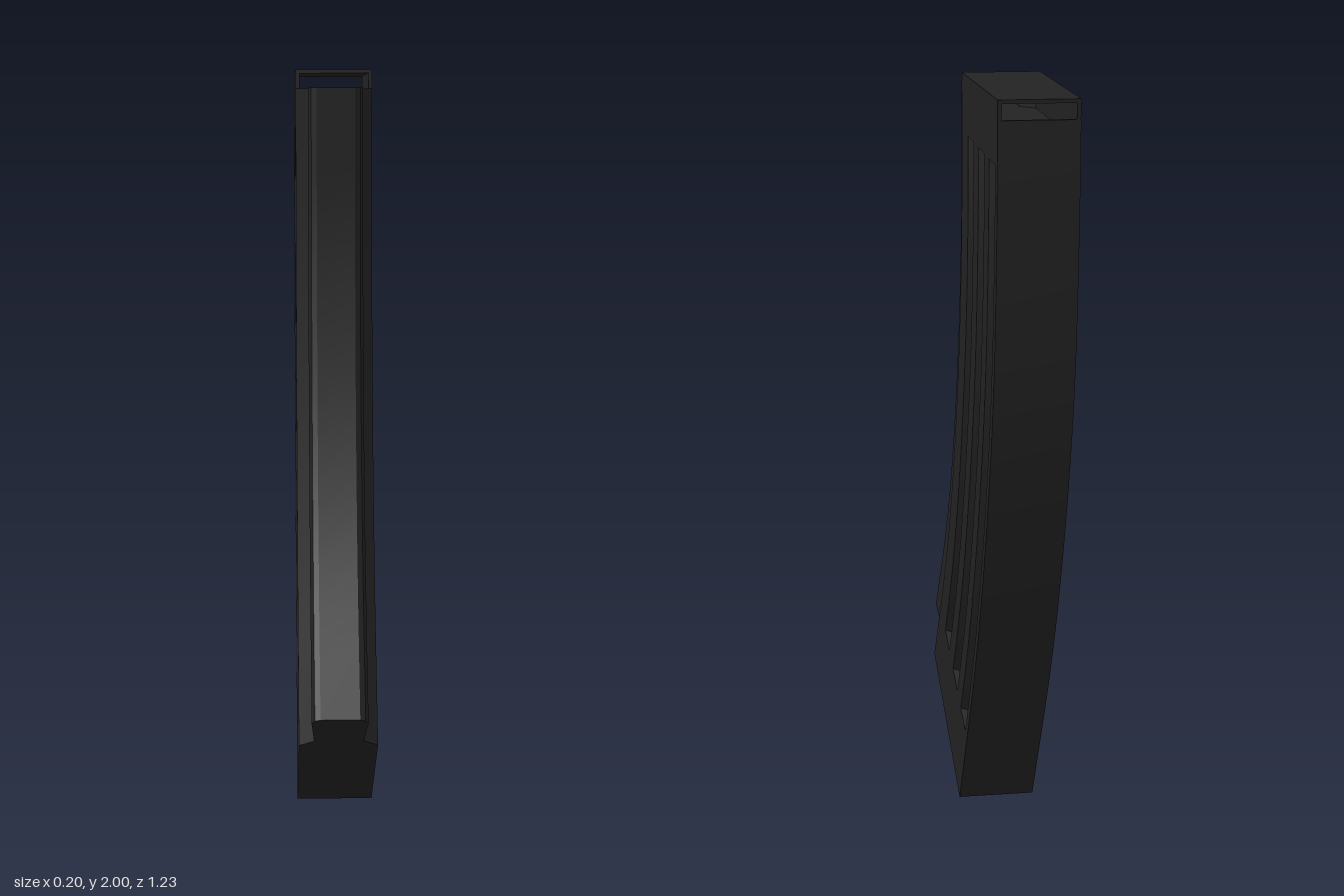
import * as THREE from 'three';
import { toCreasedNormals } from 'three/addons/utils/BufferGeometryUtils.js';

const WIDE = 0.1025;
const GROOVES = [[0.433, 0.54], [0.64, 0.753], [0.844, 0.957]];

// Front and back edges of the curved body, bottom to top, as [z, y]
const edge = (pts) => new THREE.CatmullRomCurve3(pts.map(([z, y]) => new THREE.Vector3(0, y, z)));
const frontEdge = edge([[0.615, 0.4], [0.403, 0.706], [0.286, 0.955], [0.2, 1.24], [0.142, 1.6], [0.135, 1.96]]);
const backEdge = edge([[-0.02, 0], [-0.297, 0.484], [-0.45, 0.855], [-0.556, 1.236], [-0.604, 1.66], [-0.615, 1.925]]);

// Cross-section as [x, u], u running from the front edge (0) to the back edge (1)
function profile(depth, inset) {
  const half = [[0.05, 0], [0.064, 0.012], [0.072, 0.045], [0.064, 0.25], [WIDE, 0.3]];
  for (const [a, b] of GROOVES) {
    half.push([WIDE, a], [WIDE - depth, a + 0.012], [WIDE - depth, b - 0.012], [WIDE, b]);
  }
  half.push([WIDE, 1]);
  const side = half.map(([x, u]) => [x - inset, inset / 0.75 + u * (1 - 2 * inset / 0.75)]);
  return [...side, ...side.map(([x, u]) => [-x, u]).reverse()];
}

// Loft of the cross-section along the two edges, with grooves and a recessed top
function bodyGeometry() {
  const stations = [[0, 0, 0], [0.12, 0, 0]];
  const steps = 14, depth = 0.018;
  for (let i = 0; i <= steps; i++) stations.push([0.12 + (0.945 - 0.12) * i / steps, depth, 0]);
  stations.push([0.945, 0, 0], [1, 0, 0], [1, 0, 0.01], [0.975, 0, 0.01]);

  const pos = [], index = [];
  let n = 0;
  for (const [t, d, inset] of stations) {
    const f = frontEdge.getPointAt(t), b = backEdge.getPointAt(t);
    const ring = profile(d, inset);
    n = ring.length;
    for (const [x, u] of ring) {
      const p = f.clone().lerp(b, u);
      pos.push(x, p.y, p.z);
    }
  }
  for (let i = 0; i < stations.length - 1; i++) {
    for (let j = 0; j < n; j++) {
      const k = (j + 1) % n;
      const a = i * n + j, b = i * n + k, c = b + n, d = a + n;
      index.push(a, b, c, a, c, d);
    }
  }
  // Bottom face and recessed floor at the top
  const outline = profile(0, 0).map(([x, u]) => new THREE.Vector2(x, u));
  const top = (stations.length - 1) * n;
  for (const [a, b, c] of THREE.ShapeUtils.triangulateShape(outline, [])) {
    index.push(a, c, b, top + a, top + b, top + c);
  }
  const g = new THREE.BufferGeometry();
  g.setAttribute('position', new THREE.Float32BufferAttribute(pos, 3));
  g.setIndex(index);
  return toCreasedNormals(g, Math.PI / 7);
}

// Upside-down channel over the rear part of the top, open at both ends
function lipsGeometry() {
  const w = WIDE, h = 0.051, th = 0.01;
  const shape = new THREE.Shape([
    [-w, -h], [-w + th, -h], [-w + th, -th], [w - th, -th],
    [w - th, -h], [w, -h], [w, 0], [-w, 0],
  ].map(([x, y]) => new THREE.Vector2(x, y)));
  return new THREE.ExtrudeGeometry(shape, { depth: 0.526, bevelEnabled: false });
}

export function createModel() {
  const group = new THREE.Group();
  group.name = 'curvedMagazine';
  const darkMetal = new THREE.MeshStandardMaterial({ color: 0x222222 });
  darkMetal.name = 'darkMetal';

  const body = new THREE.Mesh(bodyGeometry(), darkMetal);
  body.name = 'curvedBody';

  const lips = new THREE.Mesh(lipsGeometry(), darkMetal);
  lips.name = 'topCover';
  lips.position.set(0, 1.975, -0.615);
  lips.rotation.x = -0.0476;

  group.add(body, lips);
  return group;
}
